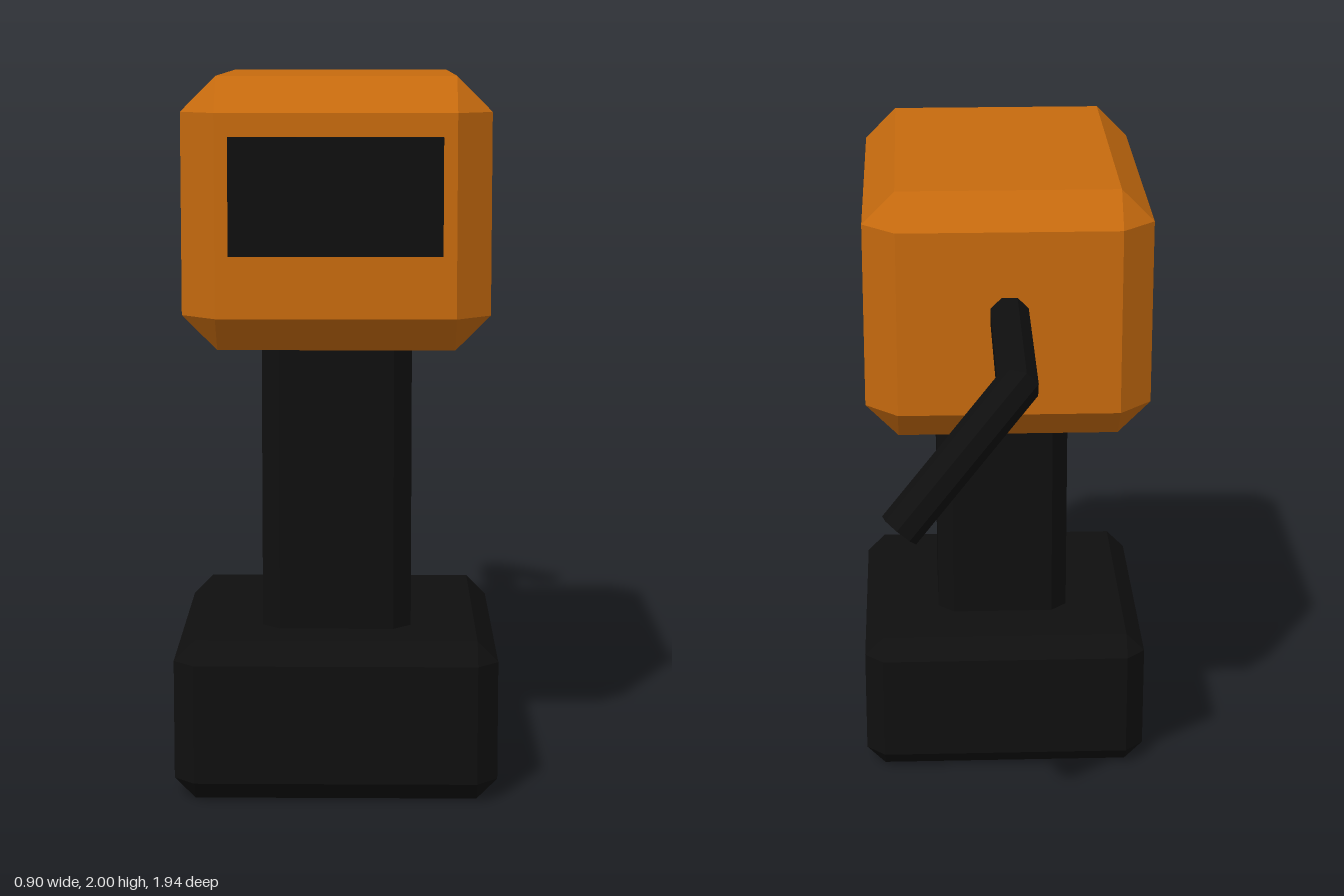
import * as THREE from 'three';
import { ConvexGeometry } from 'three/addons/geometries/ConvexGeometry.js';

const orange = new THREE.MeshStandardMaterial({ color: 0xc66a0e });
orange.name = 'orange housing';
const black = new THREE.MeshStandardMaterial({ color: 0x0f0f0f });
black.name = 'black rubber';
const grey = new THREE.MeshStandardMaterial({ color: 0x9aa0a3 });
grey.name = 'grey mount';

// Box with every edge and corner cut flat; c is the width of the cut
function chamferedBox(w, h, d, c) {
  const points = [];
  for (const x of [-1, 1]) for (const y of [-1, 1]) for (const z of [-1, 1]) {
    for (let axis = 0; axis < 3; axis++) {
      const cut = [c, c, c];
      cut[axis] = 0;
      points.push(new THREE.Vector3(x * (w / 2 - cut[0]), y * (h / 2 - cut[1]), z * (d / 2 - cut[2])));
    }
  }
  return new ConvexGeometry(points);
}

// Faceted rod along three points, mitred at the bend and capped at both ends
function bentRod(path, radius, sides) {
  const [a, b, c] = path;
  const d1 = b.clone().sub(a).normalize();
  const d2 = c.clone().sub(b).normalize();
  const planes = [[a, d1, d1], [b, d1.clone().add(d2).normalize(), d1], [c, d2, d2]];
  const side = new THREE.Vector3(1, 0, 0);
  const up = new THREE.Vector3().crossVectors(d1, side).normalize();
  const rings = planes.map(() => []);
  for (let i = 0; i < sides; i++) {
    const t = ((i + 0.5) / sides) * Math.PI * 2;
    let p = a.clone().addScaledVector(side, radius * Math.cos(t)).addScaledVector(up, radius * Math.sin(t));
    planes.forEach(([origin, normal, dir], k) => {
      const dist = origin.clone().sub(p).dot(normal) / dir.dot(normal);
      p = p.clone().addScaledVector(dir, dist);
      rings[k].push(p);
    });
  }
  const tris = [];
  for (let i = 0; i < sides; i++) {
    const j = (i + 1) % sides;
    for (let k = 0; k < 2; k++) {
      const [p, q, r, s] = [rings[k][i], rings[k][j], rings[k + 1][j], rings[k + 1][i]];
      tris.push(p, q, r, p, r, s);
    }
    tris.push(a, rings[0][j], rings[0][i], c, rings[2][i], rings[2][j]);
  }
  // side x up points along the rod, so these triangles face outward
  const geometry = new THREE.BufferGeometry().setFromPoints(tris);
  geometry.computeVertexNormals();
  return geometry;
}

export function createModel() {
  const model = new THREE.Group();
  model.name = 'handheldTool';
  const add = (name, geometry, material, x = 0, y = 0, z = 0) => {
    const mesh = new THREE.Mesh(geometry, material);
    mesh.name = name;
    mesh.position.set(x, y, z);
    model.add(mesh);
  };

  // Battery foot, grip and main housing
  add('base', chamferedBox(0.9, 0.45, 0.95, 0.058), black, 0, 0.225, 0.495);
  add('handle', chamferedBox(0.42, 0.94, 0.5, 0.05), black, 0, 0.86, 0.52);
  add('housing', chamferedBox(0.85, 0.75, 1.2, 0.097), orange, 0, 1.625, 0.32);

  // Front panel on a small mount
  add('panelMount', new THREE.BoxGeometry(0.5, 0.24, 0.02), grey, 0, 1.68, 0.92);
  add('frontPanel', new THREE.BoxGeometry(0.58, 0.32, 0.025), black, 0, 1.68, 0.941);

  // Bent rod at the back, dropping towards the left
  const path = [
    new THREE.Vector3(0, 1.655, -0.2),
    new THREE.Vector3(0, 1.63, -0.81),
    new THREE.Vector3(0.325, 1.255, -0.912),
  ];
  add('rearRod', bentRod(path, 0.06, 8), black);

  return model;
}
